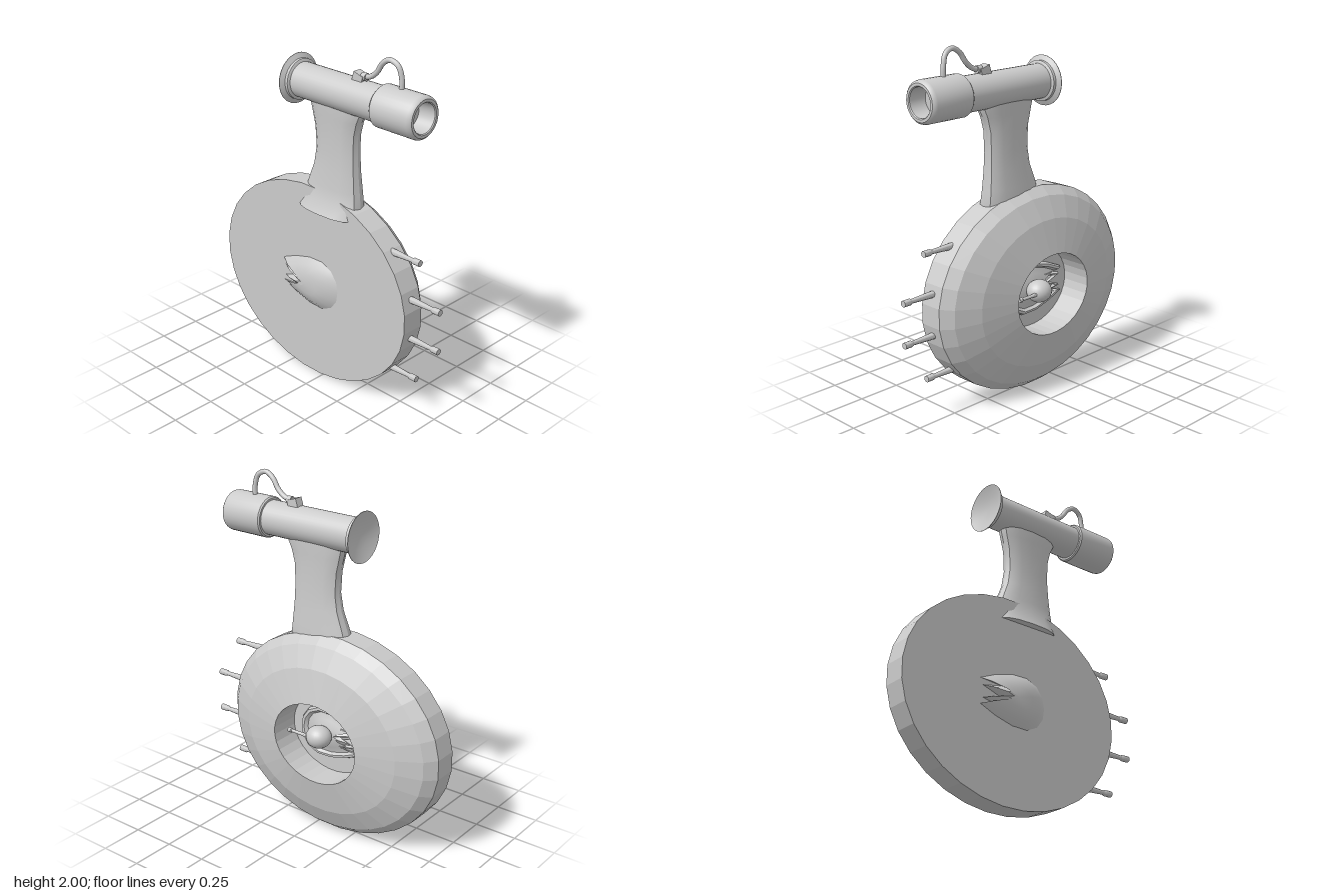
import * as THREE from 'three';
import { toCreasedNormals } from 'three/addons/utils/BufferGeometryUtils.js';

const material = new THREE.MeshStandardMaterial({ color: 0xcccccc });
const AXIS_X = -0.05, BARREL_Y = 1.74;

function add(group, name, geometry, x = 0, y = 0, z = 0) {
  const mesh = new THREE.Mesh(geometry, material);
  mesh.name = name;
  mesh.position.set(x, y, z);
  group.add(mesh);
  return mesh;
}

// Turned profile of [radius, height] pairs, with its axis laid along z
function turnedZ(profile, segments, crease = 0.6) {
  const points = profile.map(([r, h]) => new THREE.Vector2(r, h));
  return toCreasedNormals(new THREE.LatheGeometry(points, segments).rotateX(Math.PI / 2), crease);
}

// Closed skin over equal-length rings of [x, y, z], with fan caps
function loft(rings, crease) {
  const n = rings[0].length, last = rings.length - 1;
  const positions = rings.flat(2), index = [];
  for (let k = 0; k < last; k++) {
    for (let i = 0; i < n; i++) {
      const j = (i + 1) % n, a = k * n, b = a + n;
      index.push(a + i, a + j, b + j, a + i, b + j, b + i);
    }
  }
  for (const k of [0, last]) {
    const centre = positions.length / 3;
    for (let c = 0; c < 3; c++) positions.push(rings[k].reduce((s, p) => s + p[c], 0) / n);
    for (let i = 0; i < n; i++) {
      const a = k * n + i, b = k * n + (i + 1) % n;
      index.push(centre, ...(k ? [a, b] : [b, a]));
    }
  }
  const geometry = new THREE.BufferGeometry();
  geometry.setAttribute('position', new THREE.Float32BufferAttribute(positions, 3));
  geometry.setIndex(index);
  return toCreasedNormals(geometry, crease);
}

// Faceted oval disc with a domed side and a central well
function discGeometry() {
  const profile = [[0, -0.115], [1, -0.115], [1, 0.02], [0.92, 0.08], [0.72, 0.14],
    [0.395, 0.185], [0.395, 0.01], [0, 0.01]].map(([r, h]) => new THREE.Vector2(r, h));
  const geometry = new THREE.LatheGeometry(profile, 32, Math.PI / 32)
    .rotateZ(-Math.PI / 2).scale(1, 0.588, 0.708).toNonIndexed();
  geometry.computeVertexNormals();
  return geometry;
}

// Waisted neck, flared at both ends
function neckGeometry() {
  const sections = [ // y, x min, x max, z min, z max
    [1.05, -0.16, 0.04, -0.19, 0.22], [1.12, -0.125, 0.035, -0.17, 0.225],
    [1.2, -0.115, 0.03, -0.145, 0.215], [1.3, -0.106, 0.02, -0.105, 0.205],
    [1.4, -0.101, 0.015, -0.088, 0.2], [1.52, -0.103, 0.013, -0.095, 0.203],
    [1.6, -0.106, 0.015, -0.115, 0.225], [1.66, -0.11, 0.018, -0.13, 0.255],
    [1.72, -0.11, 0.018, -0.13, 0.255]];
  const bulge = (v) => Math.sign(v) * Math.abs(v) ** 0.75;
  return loft(sections.map(([y, x0, x1, z0, z1]) => Array.from({ length: 16 }, (_, i) => {
    const t = i / 16 * Math.PI * 2;
    return [(x0 + x1) / 2 + bulge(Math.cos(t)) * (x1 - x0) / 2, y,
      (z0 + z1) / 2 - bulge(Math.sin(t)) * (z1 - z0) / 2];
  })), 0.5);
}

// Teardrop pod with pronged tail, passing through the disc
function podGeometry() {
  const half = [[0.11, 0], [0.215, 0.035], [0.09, 0.06], [0.23, 0.072], [0.13, 0.115],
    [0.02, 0.145], [-0.08, 0.148], [-0.15, 0.115], [-0.19, 0.06], [-0.2, 0]];
  const outline = [...half, ...half.slice(1, -1).reverse().map(([u, v]) => [u, -v])];
  const layers = [[-0.165, 0.4], [-0.145, 0.75], [-0.115, 1], [0.02, 1], [0.04, 0.95],
    [0.042, 0.86], [0.025, 0.78], [0.035, 0.55], [0.05, 0.35]];
  return loft(layers.map(([x, s]) => outline.map(([u, v]) => [x, v * s, -u * s])), 0.6);
}

export function createModel() {
  const model = new THREE.Group();
  model.name = 'discCraft';

  add(model, 'disc', discGeometry(), 0, 0.587, -0.09);
  add(model, 'neck', neckGeometry());
  add(model, 'pod', podGeometry(), 0, 0.59, -0.08);

  // Ball turret inside the well
  const turret = new THREE.Group();
  turret.name = 'turret';
  turret.position.set(0.1, 0.592, -0.06);
  model.add(turret);
  add(turret, 'turretBall', new THREE.SphereGeometry(0.07, 24, 16).scale(1, 0.92, 1.06));
  add(turret, 'turretStalk', new THREE.CylinderGeometry(0.025, 0.035, 0.09, 12).rotateZ(-Math.PI / 2), -0.06);
  add(turret, 'turretBarrel', turnedZ([[0, 0], [0.015, 0], [0.009, 0.1], [0.009, 0.165],
    [0.013, 0.17], [0.013, 0.19], [0, 0.19]], 12), 0.03, 0, 0);

  // Engine tube with hollow front sleeve and rear bell
  const engine = new THREE.Group();
  engine.name = 'engine';
  engine.position.set(AXIS_X, BARREL_Y, 0);
  model.add(engine);
  add(engine, 'engineTube', turnedZ([[0, -0.2], [0.097, -0.2], [0.097, 0.4], [0, 0.4]], 32));
  add(engine, 'frontSleeve', turnedZ([[0, 0.38], [0.108, 0.38], [0.115, 0.388], [0.115, 0.63],
    [0.111, 0.645], [0.1, 0.655], [0.085, 0.655], [0.08, 0.65], [0.075, 0.55], [0, 0.55]], 32));
  add(engine, 'rearBell', turnedZ([[0, -0.215], [0.075, -0.215], [0.14, -0.24], [0.14, -0.237],
    [0.113, -0.222], [0.113, -0.205], [0.105, -0.2], [0, -0.2]], 32));

  // Arched hose and its connector
  const path = new THREE.CatmullRomCurve3([[-0.045, 1.84, 0.495], [-0.045, 1.9, 0.495],
    [-0.05, 1.965, 0.475], [-0.055, 1.987, 0.425], [-0.054, 1.96, 0.375], [-0.051, 1.905, 0.335],
    [-0.05, 1.87, 0.29], [-0.049, 1.858, 0.23]].map((p) => new THREE.Vector3(...p)));
  add(model, 'hose', new THREE.TubeGeometry(path, 48, 0.014, 12));
  add(model, 'hoseCollar', turnedZ([[0, 0], [0.021, 0], [0.021, 0.03], [0, 0.03]], 16), -0.049, 1.86, 0.235);
  const connector = add(model, 'hoseConnector', new THREE.BoxGeometry(0.05, 0.05, 0.065), -0.048, 1.848, 0.217);
  connector.rotation.x = 0.3;

  // Four forward rods on the disc rim
  for (const [y, tip] of [[0.945, 0.655], [0.71, 0.8], [0.475, 0.8], [0.24, 0.655]]) {
    const base = tip - 0.33;
    add(model, 'rod', turnedZ([[0, base], [0.019, base], [0.018, tip - 0.17], [0.012, tip - 0.055],
      [0.018, tip - 0.045], [0.018, tip], [0, tip]], 12), AXIS_X + 0.003, y, 0);
  }
  return model;
}
